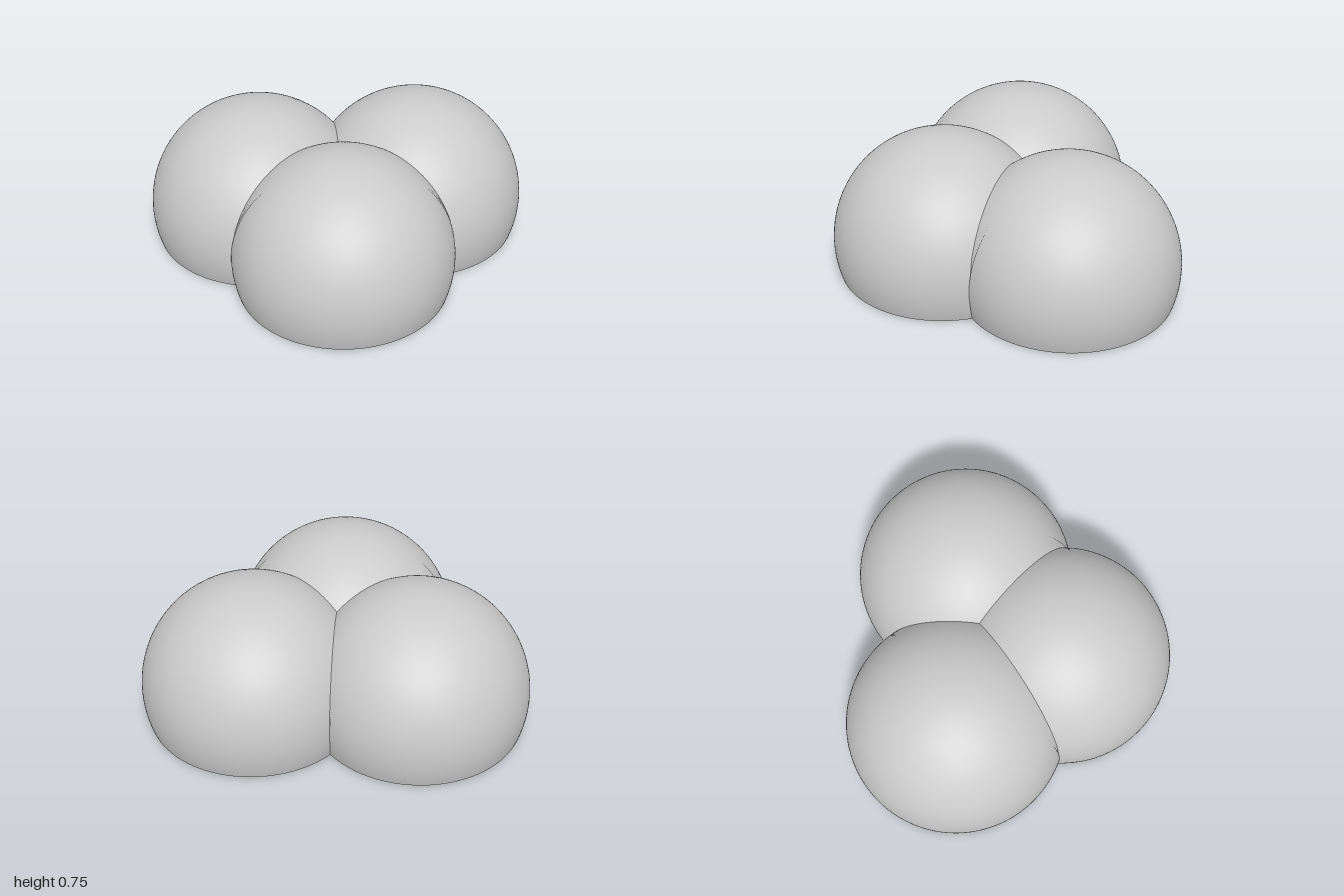
import * as THREE from 'three';

const R = 0.578;                       // dome radius
const CY = 0.175;                      // height of the dome centres
const RIM = Math.sqrt(R * R - CY * CY); // radius of the open rim at the floor
const THETA_END = Math.PI - Math.asin(RIM / R);
const DOMES = [
  { name: 'frontDome', x: -0.017, z: 0.268 },
  { name: 'backLeftDome', x: 0.422, z: -0.272 },
  { name: 'backRightDome', x: -0.422, z: -0.272 },
];
const JUNCTION = { x: 0, z: -0.167 };  // where the three seams meet

// Spherical shell trimmed by the vertical planes halfway to its neighbours
function domeGeometry(dome, neighbours) {
  const planes = neighbours.map((n) => ({
    angle: Math.atan2(n.z - dome.z, n.x - dome.x),
    d: Math.hypot(n.x - dome.x, n.z - dome.z) / 2,
  }));
  const limit = (a) => Math.min(...planes.map((p) => {
    const c = Math.cos(a - p.angle);
    return c > 1e-6 ? p.d / c : Infinity;
  }));

  // Azimuths at which the trimmed outline has a corner
  const start = Math.atan2(JUNCTION.z - dome.z, JUNCTION.x - dome.x);
  const breaks = [start, start + 2 * Math.PI];
  for (const p of planes) {
    for (const r of [R, RIM]) {
      for (const sign of [-1, 1]) {
        const a = p.angle + sign * Math.acos(p.d / r);
        if (Math.abs(limit(a) - r) > 1e-6) continue;
        const turn = 2 * Math.PI;
        breaks.push(start + ((((a - start) % turn) + turn) % turn));
      }
    }
  }
  breaks.sort((a, b) => a - b);
  const azimuths = [breaks[0]];
  for (let k = 1; k < breaks.length; k++) {
    const span = breaks[k] - breaks[k - 1];
    const steps = Math.max(1, Math.ceil(span / 0.05));
    for (let s = 1; s <= steps; s++) azimuths.push(breaks[k - 1] + (span * s) / steps);
  }

  const positions = [], normals = [], indices = [];
  const addPatch = (range, rows) => {
    const base = positions.length / 3;
    azimuths.forEach((a, i) => {
      const [t0, t1] = range(Math.asin(Math.min(1, limit(a) / R)));
      for (let j = 0; j <= rows; j++) {
        const t = t0 + ((t1 - t0) * j) / rows;
        const n = [Math.sin(t) * Math.cos(a), Math.cos(t), Math.sin(t) * Math.sin(a)];
        normals.push(...n);
        positions.push(dome.x + R * n[0], Math.max(0, CY + R * n[1]), dome.z + R * n[2]);
        if (i === 0 || j === 0) continue;
        const v = base + i * (rows + 1) + j;
        const u = v - rows - 1;
        indices.push(u - 1, v - 1, u, v - 1, v, u);
      }
    });
  };
  // Upper half, then the band that curves back in down to the floor
  addPatch((t) => [0, t], 32);
  addPatch((t) => [Math.min(Math.PI - t, THETA_END), THETA_END], 8);

  const geometry = new THREE.BufferGeometry();
  geometry.setAttribute('position', new THREE.Float32BufferAttribute(positions, 3));
  geometry.setAttribute('normal', new THREE.Float32BufferAttribute(normals, 3));
  geometry.setIndex(indices);
  return geometry;
}

export function createModel() {
  const group = new THREE.Group();
  group.name = 'tripleDome';
  const material = new THREE.MeshStandardMaterial({ color: 0xcccccc, side: THREE.DoubleSide });
  for (const dome of DOMES) {
    const mesh = new THREE.Mesh(domeGeometry(dome, DOMES.filter((d) => d !== dome)), material);
    mesh.name = dome.name;
    group.add(mesh);
  }
  return group;
}
